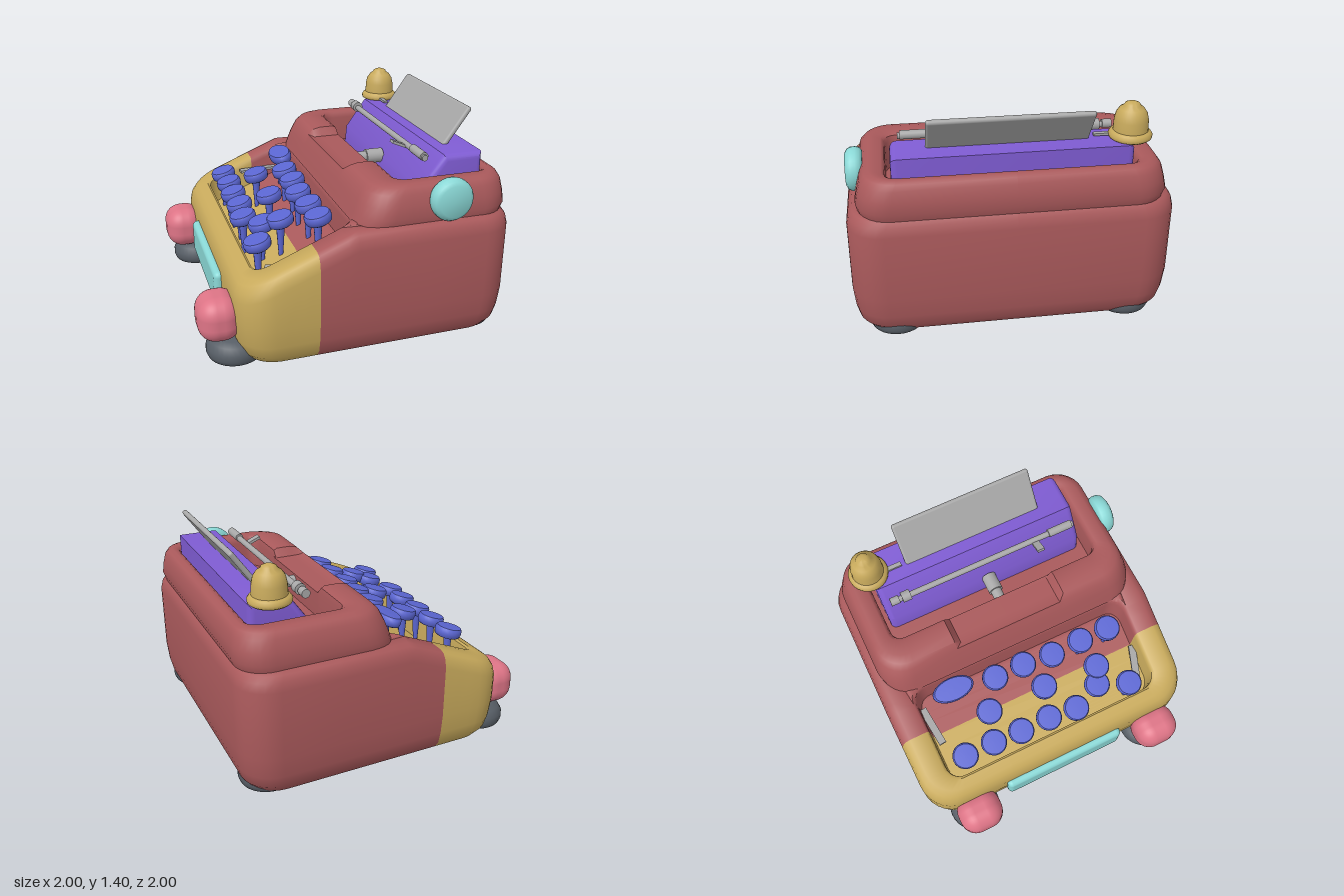
import * as THREE from 'three';
import { toCreasedNormals } from 'three/addons/utils/BufferGeometryUtils.js';
import { RoundedBoxGeometry } from 'three/addons/geometries/RoundedBoxGeometry.js';

const mat = (name, color) => Object.assign(new THREE.MeshStandardMaterial({ color }), { name });
const V2 = (x, y) => new THREE.Vector2(x, y);

// Half outline (z >= 0) of a rounded rectangle, front to back, with fixed x and z stations
function halfRing({ x0, x1, w, r }, xs, zs) {
  const pts = zs.map(z => [x0, z]);
  const arc = (cx, start) => {
    for (let i = 0; i <= 7; i++) {
      const a = start - (i / 7) * Math.PI / 2;
      pts.push([cx + r * Math.cos(a), w - r + r * Math.sin(a)]);
    }
  };
  arc(x0 + r, Math.PI);
  xs.forEach(x => pts.push([THREE.MathUtils.clamp(x, x0 + r, x1 - r), w]));
  arc(x1 - r, Math.PI / 2);
  pts.push([x1, 0]);
  return pts;
}

// Skin through mirrored rings; each ring has its own height rule y(x, z)
function loft(rings, xs, zs, caps) {
  const pos = [], idx = [];
  let n = 0, half = 0;
  for (const ring of rings) {
    const h = halfRing(ring, xs, zs);
    half = h.length - 1;
    const all = [...h, ...h.slice(1, -1).reverse().map(([x, z]) => [x, -z])];
    n = all.length;
    all.forEach(([x, z]) => pos.push(x, ring.y(x, z), z));
  }
  for (let j = 0; j < rings.length - 1; j++) {
    for (let i = 0; i < n; i++) {
      const a = j * n + i, b = j * n + (i + 1) % n;
      idx.push(a, b, b + n, a, b + n, a + n);
    }
  }
  if (caps) {
    const last = (rings.length - 1) * n;
    for (let k = 0; k < half; k++) {
      const m = (n - k) % n, m1 = n - k - 1;
      idx.push(last + k, last + k + 1, last + m1, last + k, last + m1, last + m);
      idx.push(k, m1, k + 1, k, m, m1);
    }
  }
  const g = new THREE.BufferGeometry();
  g.setAttribute('position', new THREE.Float32BufferAttribute(pos, 3));
  g.setIndex(idx);
  return toCreasedNormals(g, 0.75);
}

// Front part of the case takes material 1, the rest material 0
function splitAtX(g, limit) {
  const p = g.attributes.position;
  let start = 0, current = -1;
  for (let i = 0; i <= p.count; i += 3) {
    const m = i === p.count ? -2 : (p.getX(i) + p.getX(i + 1) + p.getX(i + 2)) / 3 < limit ? 1 : 0;
    if (m !== current) {
      if (i > start) g.addGroup(start, i - start, current);
      start = i;
      current = m;
    }
  }
  return g;
}

const lathe = (pts, seg = 32) =>
  toCreasedNormals(new THREE.LatheGeometry(pts.map(([x, y]) => V2(x, y)), seg), 0.8);

export function createModel() {
  const red = mat('case red', 0xa9595b), yellow = mat('brass yellow', 0xc8aa5c);
  const blue = mat('key blue', 0x5b66d2), purple = mat('carriage purple', 0x7f5cd3);
  const teal = mat('teal', 0x8ad8d6), pink = mat('pink', 0xdd7486);
  const grey = mat('metal grey', 0xa8a8a8), dark = mat('foot grey', 0x565d65);

  const model = new THREE.Group();
  model.name = 'typewriter';
  const add = (name, geo, m, x = 0, y = 0, z = 0, parent = model) => {
    const mesh = new THREE.Mesh(geo, m);
    mesh.name = name;
    mesh.position.set(x, y, z);
    parent.add(mesh);
    return mesh;
  };

  // Case with sloping rim and sunken keyboard well
  const top = x => Math.min(0.84, 0.865 + 0.41 * x);
  const outer = (d, y) => ({ x0: -0.79 + d, x1: 1 - d, w: 1 - d, r: 0.22 - d * 0.4, y });
  const well = (d, drop) => ({ x0: -0.66 + d, x1: -0.01 - d, w: 0.81 - d, r: 0.1, y: x => top(x) - drop });
  const caseGeo = loft([
    outer(0.13, () => 0.015), outer(0.07, () => 0.035), outer(0.03, () => 0.09), outer(0.012, () => 0.17),
    outer(0, () => 0.3), outer(0, x => top(x) - 0.1), outer(0.012, x => top(x) - 0.045),
    outer(0.035, x => top(x) - 0.012), outer(0.07, x => top(x)),
    well(0, 0), well(0.015, 0.015), well(0.02, 0.05), well(0.03, 0.2),
  ], [-0.5, -0.4, -0.3, -0.2, -0.12, -0.06, 0.4], [0, 0.38], true);
  add('case', splitAtX(caseGeo, -0.3), [red, yellow]);

  // Raised rear cover, open in the middle, with a shallow dip in its front rim
  const lidRing = (x0, x1, w, r, y) => ({
    x0, x1, w, r, y: (x, z) => (x > 0.06 && x < 0.3 && Math.abs(z) < 0.38 ? Math.min(y, 1.01) : y),
  });
  const lid = loft([
    lidRing(-0.03, 0.97, 0.93, 0.2, 0.83), lidRing(-0.01, 0.985, 0.94, 0.2, 0.88),
    lidRing(0.015, 0.98, 0.925, 0.2, 0.95), lidRing(0.05, 0.965, 0.905, 0.19, 1.02),
    lidRing(0.085, 0.945, 0.88, 0.18, 1.055), lidRing(0.14, 0.915, 0.85, 0.16, 1.068),
    lidRing(0.24, 0.89, 0.775, 0.09, 1.068), lidRing(0.262, 0.872, 0.758, 0.08, 1.055),
    lidRing(0.27, 0.865, 0.75, 0.08, 1.02), lidRing(0.27, 0.865, 0.75, 0.08, 0.835),
  ], [0.3, 0.37, 0.6], [0, 0.36, 0.4], false);
  add('rearCover', lid, red);

  // Carriage block
  const profile = new THREE.Shape([
    V2(0.48, 0.84), V2(0.49, 0.95), V2(0.62, 1.13), V2(0.82, 1.13), V2(0.82, 0.84)]);
  const block = new THREE.ExtrudeGeometry(profile, {
    depth: 1.36, bevelEnabled: true, bevelSize: 0.04, bevelThickness: 0.04, bevelSegments: 4 });
  add('carriage', toCreasedNormals(block, 0.6), purple, 0, 0, -0.68);

  // Tilted paper rest
  add('paperRest', new RoundedBoxGeometry(0.035, 0.33, 0.98, 3, 0.017), grey, 0.772, 1.265, 0.02)
    .rotation.z = -0.62;

  // Paper bail rod with collars, tab and centre stud
  const rod = (name, r, len, x, y, z, axis) => {
    const m = add(name, new THREE.CylinderGeometry(r, r, len, 20), grey, x, y, z);
    m.rotation[axis] = Math.PI / 2;
  };
  rod('bailRod', 0.02, 1.34, 0.485, 1.15, 0, 'x');
  [-0.64, -0.56, 0.57].forEach((z, i) =>
    rod('bailCollar', i === 1 ? 0.036 : 0.028, i === 2 ? 0.17 : 0.06, 0.485, 1.155, z, 'x'));
  add('bailTab', new THREE.BoxGeometry(0.12, 0.018, 0.05), grey, 0.435, 1.158, 0.38).rotation.z = -0.4;
  rod('centreStud', 0.05, 0.12, 0.4, 0.96, 0.02, 'z');
  rod('centreStudTip', 0.038, 0.07, 0.305, 0.96, 0.02, 'z');

  // Bell
  add('bell', lathe([[0, 0], [0.115, 0], [0.13, 0.012], [0.132, 0.03], [0.12, 0.047], [0.106, 0.055],
    [0.103, 0.12], [0.094, 0.16], [0.075, 0.19], [0.05, 0.208], [0.045, 0.22], [0.025, 0.23], [0, 0.232]]),
  yellow, 0.73, 1.165, -0.72);
  add('bellArm', new THREE.BoxGeometry(0.03, 0.015, 0.14), grey, 0.7, 1.185, -0.57);

  // Platen knob on the left end
  add('platenKnob', lathe([[0, 0], [0.11, 0], [0.13, 0.015], [0.137, 0.04], [0.135, 0.07], [0.122, 0.092],
    [0.1, 0.104], [0, 0.108]]), teal, 0.545, 0.975, 0.887).rotation.x = Math.PI / 2;

  // Front plate
  add('frontPlate', new RoundedBoxGeometry(0.08, 0.24, 0.89, 4, 0.035), teal, -0.795, 0.31, -0.005);

  // Bumpers and feet
  const footGeo = lathe([[0, 0], [0.13, 0], [0.17, 0.02], [0.182, 0.05], [0.18, 0.09], [0.155, 0.13],
    [0.11, 0.15], [0, 0.155]]);
  const bumperGeo = new RoundedBoxGeometry(0.27, 0.29, 0.31, 6, 0.115);
  for (const s of [-1, 1]) {
    add('bumper', bumperGeo, pink, -0.865, 0.295, s * 0.7);
    add('frontFoot', footGeo, dark, -0.77, 0.002, s * 0.71);
    add('rearFoot', footGeo, dark, 0.79, 0, s * 0.73);
  }

  // Keys: tilted caps on tapered stems
  const capGeo = lathe([[0, -0.035], [0.07, -0.035], [0.084, -0.025], [0.089, 0], [0.088, 0.02],
    [0.08, 0.033], [0, 0.036]], 24);
  const stemGeo = new THREE.CylinderGeometry(0.03, 0.014, 0.24, 10);
  const keys = [
    [-0.55, -0.64], [-0.55, -0.43], [-0.56, -0.23], [-0.56, -0.02], [-0.58, 0.18], [-0.5, 0.38], [-0.58, 0.59],
    [-0.36, -0.37], [-0.365, 0.04], [-0.39, 0.43],
    [-0.18, -0.24], [-0.18, -0.03], [-0.2, 0.18], [-0.195, 0.4], [-0.195, 0.61], [-0.135, -0.53],
  ];
  keys.forEach(([x, z], i) => {
    const key = new THREE.Group();
    key.name = 'key';
    key.position.set(x, 0.882 + 0.34 * x, z);
    const cap = add('keyCap', capGeo, blue, 0, 0, 0, key);
    cap.rotation.z = 0.26;
    if (i === keys.length - 1) cap.scale.set(0.9, 1, 1.65);
    add('keyStem', stemGeo, blue, 0, -0.14, 0, key);
    model.add(key);
  });

  // Loose metal strips in the corners of the well
  add('wellStrip', new THREE.BoxGeometry(0.26, 0.02, 0.05), grey, -0.44, 0.56, 0.735).rotation.y = -0.37;
  add('wellStrip', new THREE.BoxGeometry(0.28, 0.02, 0.05), grey, -0.26, 0.66, -0.755).rotation.y = 0.1;

  return model;
}
